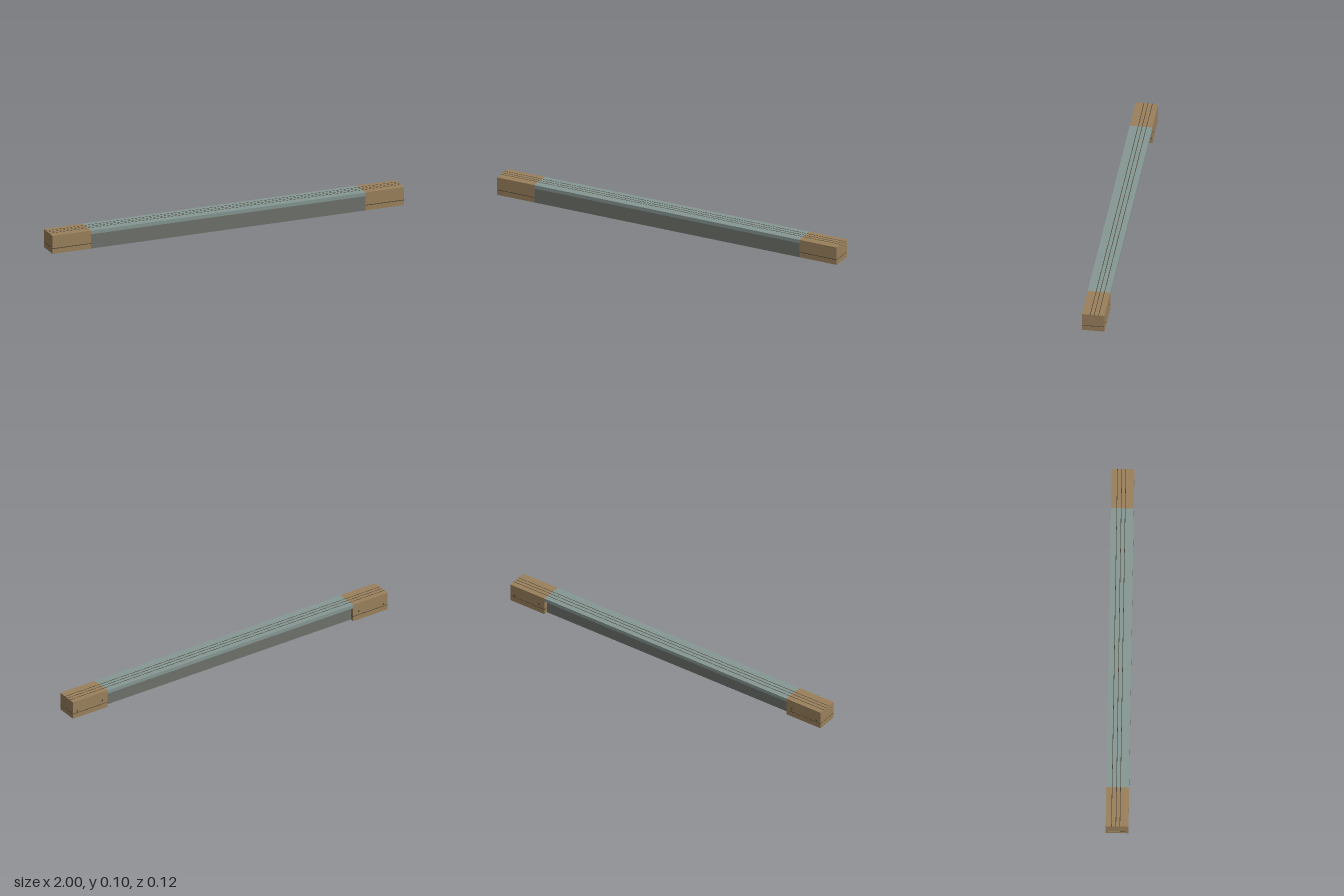
import * as THREE from 'three';

const material = (name, color) => {
  const m = new THREE.MeshStandardMaterial({ color });
  m.name = name;
  return m;
};

export function createModel() {
  const model = new THREE.Group();
  model.name = 'beam';
  const tan = material('tan', 0x9a805c);
  const greyGreen = material('grey green', 0x869793);
  const grey = material('grey', 0x6e716b);
  const dark = material('dark', 0x453f33);

  // box given by its minimum and maximum on each axis
  const box = (name, mat, [x0, x1], [y0, y1], [z0, z1]) => {
    const mesh = new THREE.Mesh(new THREE.BoxGeometry(x1 - x0, y1 - y0, z1 - z0), mat);
    mesh.position.set((x0 + x1) / 2, (y0 + y1) / 2, (z0 + z1) / 2);
    mesh.name = name;
    model.add(mesh);
  };

  const inner = 0.78;
  const depth = [-0.06, 0.06];

  // middle span: body set back at the rear under a full-width top slab
  box('body', grey, [-inner, inner], [0, 0.08], [-0.038, 0.06]);
  box('topSlab', greyGreen, [-inner, inner], [0.08, 0.1], depth);

  for (const s of [-1, 1]) {
    const span = (a, b) => (s > 0 ? [a, b] : [-b, -a]);
    // end block in two layers with a dark seam between
    box('endBlockLower', tan, span(inner, 1), [0, 0.0265], depth);
    box('endBlockSeam', dark, span(inner, 0.999), [0.0265, 0.0305], [-0.059, 0.059]);
    box('endBlockUpper', tan, span(inner, 1), [0.0305, 0.1], depth);

    // small screw heads on the rear
    for (const [x, y] of [[0.973, 0.041], [0.815, 0.05]]) {
      const screw = new THREE.Mesh(new THREE.CylinderGeometry(0.005, 0.005, 0.001, 12), dark);
      screw.rotation.x = Math.PI / 2;
      screw.position.set(s * x, y, -0.06);
      screw.name = 'screw';
      model.add(screw);
    }
  }

  // fine lines along the whole top
  for (const z of [-0.029, -0.006, 0.015]) {
    box('topLine', dark, [-1, 1], [0.0995, 0.1005], [z - 0.0015, z + 0.0015]);
  }
  return model;
}
